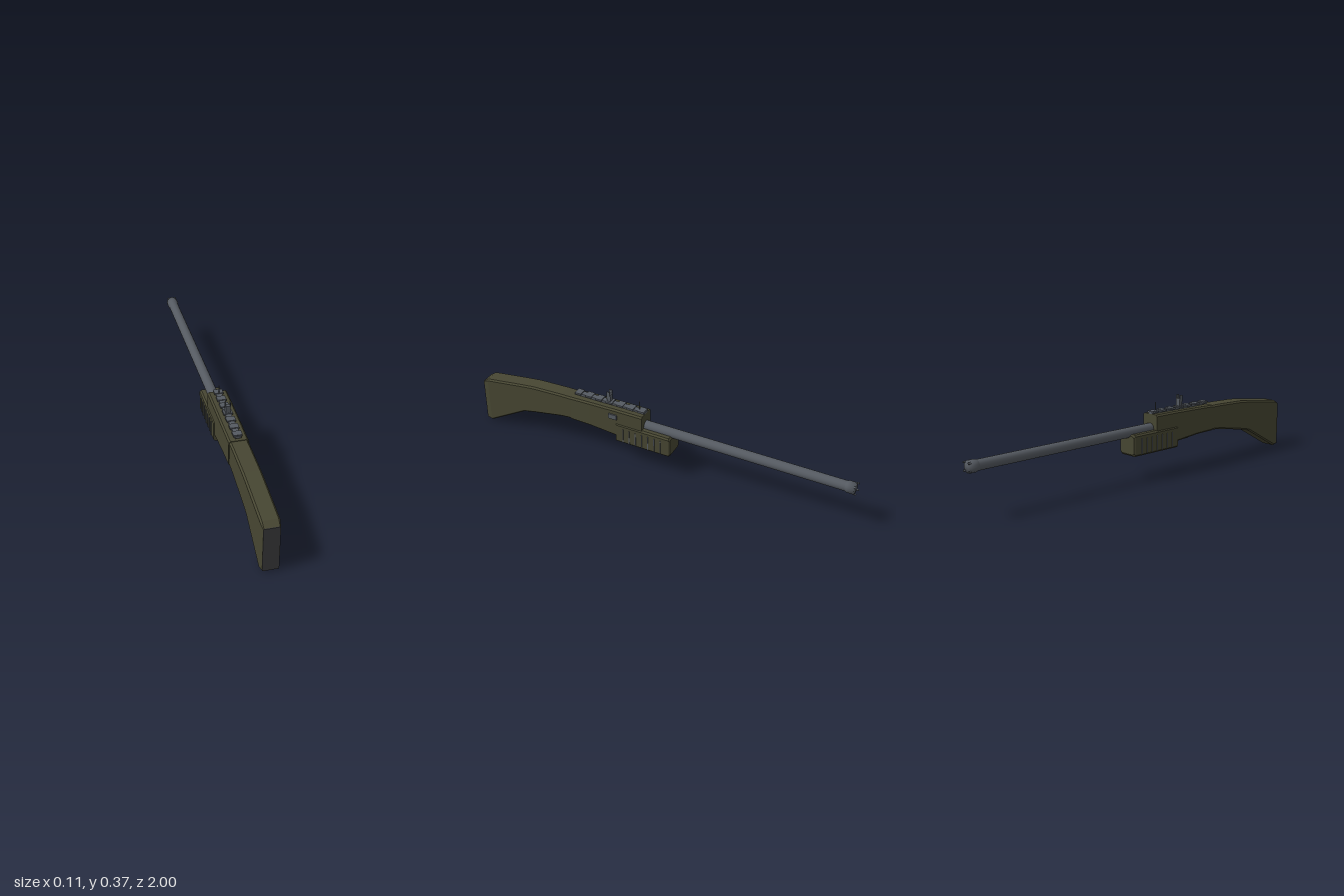
import * as THREE from 'three';

const mat = (name, color) => {
  const m = new THREE.MeshStandardMaterial({ color });
  m.name = name;
  return m;
};

// Chamfered rectangles [z, bottom, top, halfWidth, chamfer], ascending z, joined into a faceted solid
function loft(sections) {
  const rings = sections.map(([z, b, t, w, c]) => [
    [-w + c, b, z], [w - c, b, z], [w, b + c, z], [w, t - c, z],
    [w - c, t, z], [-w + c, t, z], [-w, t - c, z], [-w, b + c, z],
  ]);
  const pos = [];
  const tri = (...p) => p.forEach((v) => pos.push(...v));
  for (let i = 0; i < rings.length - 1; i++) {
    for (let j = 0; j < 8; j++) {
      const k = (j + 1) % 8;
      const [a, b, c, d] = [rings[i][j], rings[i][k], rings[i + 1][k], rings[i + 1][j]];
      tri(a, b, c);
      tri(a, c, d);
    }
  }
  const back = rings[0], front = rings[rings.length - 1];
  for (let j = 1; j < 7; j++) {
    tri(front[0], front[j], front[j + 1]);
    tri(back[0], back[j + 1], back[j]);
  }
  const g = new THREE.BufferGeometry();
  g.setAttribute('position', new THREE.Float32BufferAttribute(pos, 3));
  g.computeVertexNormals();
  return g;
}

export function createModel() {
  const root = new THREE.Group();
  root.name = 'longGun';
  const olive = mat('olive', 0x474632);
  const metal = mat('gunmetal', 0x555a61);
  const rubber = mat('rubber', 0x3a3a3b);

  const add = (name, geometry, material, x = 0, y = 0, z = 0) => {
    const m = new THREE.Mesh(geometry, material);
    m.name = name;
    m.position.set(x, y, z);
    root.add(m);
    return m;
  };
  const box = (name, material, w, h, d, x, y, z) =>
    add(name, new THREE.BoxGeometry(w, h, d), material, x, y, z);

  // Shoulder stock with its rubber end
  add('stock', loft([
    [0.46, 0.168, 0.294, 0.043, 0.008],
    [0.53, 0.162, 0.294, 0.043, 0.008],
    [0.69, 0.133, 0.288, 0.043, 0.008],
    [0.76, 0.118, 0.28, 0.043, 0.008],
    [0.97, 0, 0.252, 0.043, 0.008],
    [0.997, 0.006, 0.233, 0.037, 0.003],
  ]), olive);
  add('buttPad', loft([
    [0.997, 0.006, 0.233, 0.037, 0.003],
    [1, 0.006, 0.232, 0.037, 0.003],
  ]), rubber);

  // Receiver and fore grip
  add('receiver', loft([
    [0.07, 0.15, 0.305, 0.047, 0.008],
    [0.21, 0.15, 0.304, 0.047, 0.008],
    [0.36, 0.163, 0.301, 0.047, 0.008],
    [0.47, 0.165, 0.297, 0.046, 0.008],
  ]), olive);
  add('foreGrip', loft([
    [-0.083, 0.131, 0.221, 0.047, 0.008],
    [-0.075, 0.122, 0.229, 0.052, 0.008],
    [0.21, 0.122, 0.229, 0.052, 0.008],
  ]), olive);
  for (const side of [-1, 1]) {
    for (let i = 0; i < 7; i++) {
      box('gripRib', metal, 0.008, 0.076, 0.004, side * 0.052, 0.169, 0.17 - i * 0.034);
    }
  }

  // Loading gate below and ejection port on the left
  box('loadingGate', metal, 0.04, 0.006, 0.11, 0, 0.151, 0.262);
  box('ejectionPort', metal, 0.01, 0.026, 0.044, 0.049, 0.264, 0.228);

  // Barrel, flared muzzle and crown teeth
  const barrelY = 0.235;
  const barrel = new THREE.CylinderGeometry(0.025, 0.025, 1.06, 16).rotateX(Math.PI / 2);
  add('barrel', barrel, metal, 0, barrelY, -0.43);
  const muzzle = new THREE.LatheGeometry([
    new THREE.Vector2(0.025, 0),
    new THREE.Vector2(0.029, 0.01),
    new THREE.Vector2(0.029, 0.045),
    new THREE.Vector2(0.0001, 0.045),
  ], 16).rotateX(-Math.PI / 2);
  add('muzzle', muzzle, metal, 0, barrelY, -0.945);
  for (let i = 0; i < 4; i++) {
    const a = Math.PI / 4 + i * Math.PI / 2;
    const tooth = box('muzzleTooth', metal, 0.006, 0.008, 0.014,
      Math.cos(a) * 0.027, barrelY + Math.sin(a) * 0.027, -0.993);
    tooth.rotation.z = a;
  }

  // Slotted top rail
  box('railBase', metal, 0.028, 0.012, 0.39, 0, 0.308, 0.265);
  for (let i = 0; i < 7; i++) {
    box('railSlat', metal, 0.042, 0.009, 0.034, 0, 0.3135, 0.09 + i * 0.0583);
  }

  // Forked rear sight and front post
  box('rearSight', metal, 0.023, 0.04, 0.02, 0, 0.335, 0.27);
  for (const side of [-1, 1]) {
    box('rearSightProng', metal, 0.004, 0.022, 0.016, side * 0.0115, 0.361, 0.27);
  }
  add('frontSight', new THREE.CylinderGeometry(0.003, 0.003, 0.044, 8), metal, 0, 0.337, 0.105);

  return root;
}
